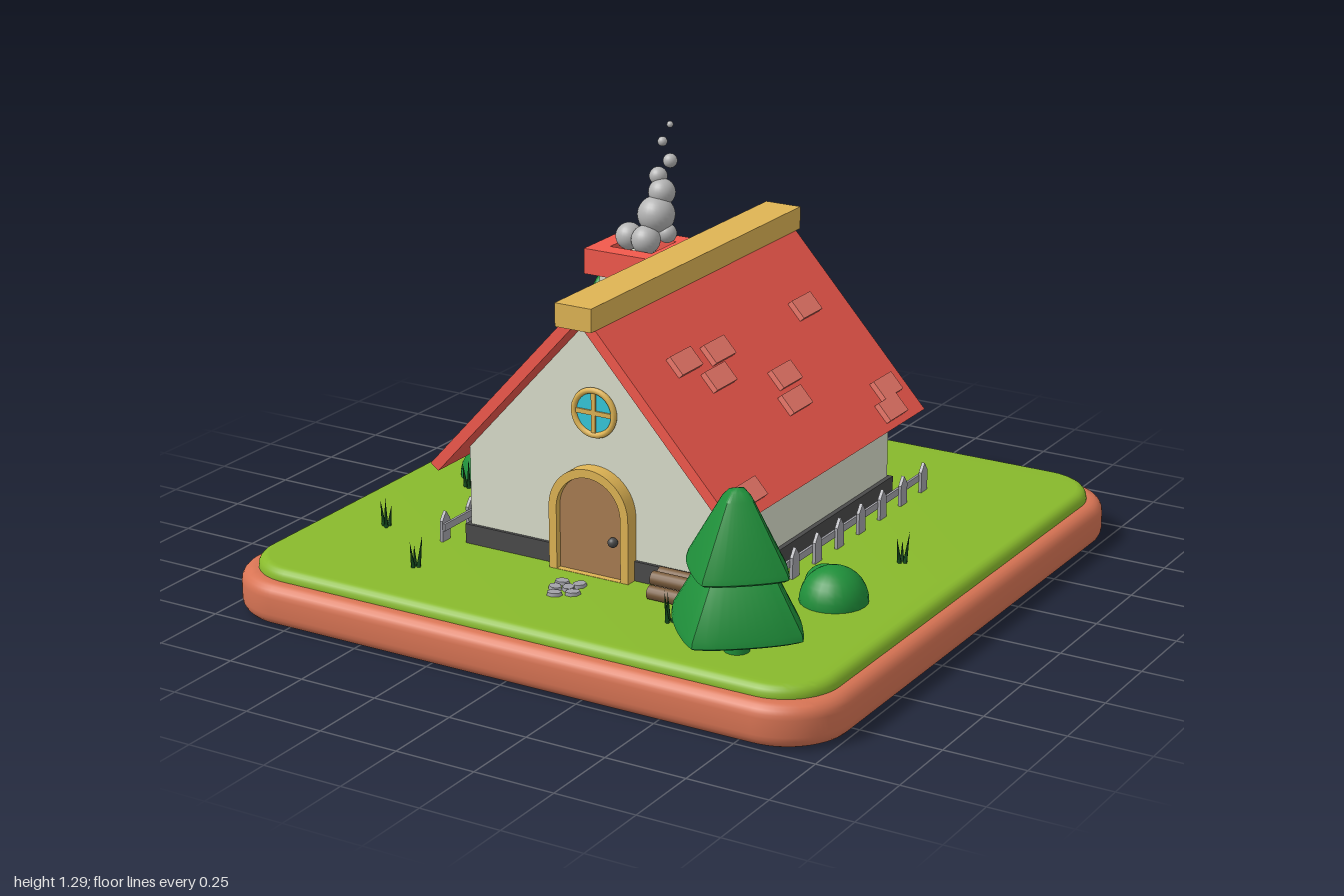
import * as THREE from 'three';
import { toCreasedNormals } from 'three/addons/utils/BufferGeometryUtils.js';

const mat = (color) => new THREE.MeshStandardMaterial({ color });
const M = {
  clay: mat(0xd87454), grass: mat(0x88b92c), wall: mat(0xdadecb), roof: mat(0xf2594d),
  tile: mat(0xf07a6c), trim: mat(0xdfb454), door: mat(0xa87c52), glass: mat(0x35c8da),
  stone: mat(0x4a4a4a), leaf: mat(0x1f8f3a), blade: mat(0x17501f), smoke: mat(0xb4b4b4),
  fence: mat(0xa2a2a8), bark: mat(0x7a5c3c), logEnd: mat(0xc9a46c),
};
const GROUND = 0.165;
const SLOPE = 1.1, PEAK = 0.994; // outer roof line: y = PEAK - SLOPE * |x|

function add(parent, name, geo, material, x = 0, y = 0, z = 0) {
  const mesh = new THREE.Mesh(geo, material);
  mesh.name = name;
  mesh.position.set(x, y, z);
  parent.add(mesh);
  return mesh;
}
function group(parent, name) {
  const g = new THREE.Group();
  g.name = name;
  parent.add(g);
  return g;
}
const box = (w, h, d) => new THREE.BoxGeometry(w, h, d);
const ball = (r) => new THREE.SphereGeometry(r, 24, 16);
const polygon = (pts) => new THREE.Shape(pts.map(([x, y]) => new THREE.Vector2(x, y)));
const extrude = (shape, depth) =>
  toCreasedNormals(new THREE.ExtrudeGeometry(shape, { depth, bevelEnabled: false, curveSegments: 20 }), 0.6);

// Rounded square slab lying flat, with rounded upper and lower edges
function slab(half, radius, height, bevel) {
  const h = half - bevel, r = radius - bevel, s = new THREE.Shape();
  s.absarc(h - r, h - r, r, 0, Math.PI / 2);
  s.absarc(r - h, h - r, r, Math.PI / 2, Math.PI);
  s.absarc(r - h, r - h, r, Math.PI, Math.PI * 1.5);
  s.absarc(h - r, r - h, r, Math.PI * 1.5, Math.PI * 2);
  const geo = new THREE.ExtrudeGeometry(s, {
    depth: height - 2 * bevel, bevelSize: bevel, bevelThickness: bevel, bevelSegments: 5, curveSegments: 10,
  });
  geo.translate(0, 0, bevel).rotateX(-Math.PI / 2);
  return toCreasedNormals(geo, 0.7);
}

// Doorway outline: straight sides under a half-round top
function arch(w, bottom, spring, Type = THREE.Shape) {
  const s = new Type();
  s.moveTo(-w, bottom);
  s.lineTo(w, bottom);
  s.lineTo(w, spring);
  s.absarc(0, spring, w, 0, Math.PI);
  s.lineTo(-w, bottom);
  return s;
}

// Foliage tier: a lathe squeezed to a soft-cornered square
function tier(profile) {
  const geo = new THREE.LatheGeometry(profile.map(([x, y]) => new THREE.Vector2(x, y)), 40);
  const p = geo.attributes.position, e = 1.2;
  for (let i = 0; i < p.count; i++) {
    const x = p.getX(i), z = p.getZ(i), r = Math.hypot(x, z);
    if (r < 1e-6) continue;
    const k = Math.pow(Math.pow(Math.abs(x) / r, e) + Math.pow(Math.abs(z) / r, e), -1 / e);
    p.setX(i, x * k);
    p.setZ(i, z * k);
  }
  return toCreasedNormals(geo, 0.8);
}

function addTree(root, x, z, turn) {
  const tree = group(root, 'tree');
  tree.position.set(x, 0, z);
  tree.rotation.y = turn;
  add(tree, 'trunk', new THREE.CylinderGeometry(0.034, 0.036, 0.12, 16), M.leaf, 0, 0.22, 0);
  add(tree, 'lowerFoliage', tier([[0, 0.235], [0.2, 0.235], [0.216, 0.243], [0.212, 0.262], [0.115, 0.42], [0, 0.46]]), M.leaf);
  add(tree, 'upperFoliage', tier([[0, 0.402], [0.155, 0.402], [0.168, 0.41], [0.163, 0.425], [0.05, 0.61], [0.028, 0.632], [0, 0.64]]), M.leaf);
}

function buildHouse(root) {
  const house = group(root, 'house');
  add(house, 'foundation', box(0.9, 0.06, 1.0), M.stone, 0, GROUND + 0.03, 0);
  const gable = polygon([[-0.435, 0.18], [0.435, 0.18], [0.435, 0.468], [0, 0.946], [-0.435, 0.468]]);
  add(house, 'walls', extrude(gable, 0.98), M.wall, 0, 0, -0.49);

  // Roof slopes, ridge beam and raised tiles
  for (const s of [-1, 1]) {
    const pts = [[0, PEAK], [0, 0.946], [s * 0.487, 0.41], [s * 0.513, 0.43]];
    add(house, s < 0 ? 'rightRoof' : 'leftRoof', extrude(polygon(pts), 1.16), M.roof, 0, 0, -0.58);
  }
  add(house, 'ridgeBeam', box(0.12, 0.07, 1.208), M.trim, 0, 0.965, 0);
  const tiles = [
    [-0.365, -0.49], [-0.17, -0.455], [-0.45, -0.13], [-0.17, 0.015], [-0.257, 0.123], [-0.17, 0.305], [-0.428, 0.438],
    [0.433, -0.465], [0.476, -0.417], [0.208, -0.358], [0.31, -0.053], [0.363, -0.02], [0.203, 0.155],
    [0.25, 0.23], [0.192, 0.326], [0.47, 0.438],
  ];
  const tileGeo = box(0.064, 0.036, 0.115);
  for (const [x, z] of tiles) {
    const tile = add(house, 'roofTile', tileGeo, M.tile, x, PEAK - SLOPE * Math.abs(x), z);
    tile.rotation.z = -Math.sign(x) * Math.atan(SLOPE);
  }

  // Arched door
  const frame = arch(0.134, GROUND, 0.356);
  frame.holes.push(arch(0.108, GROUND + 0.001, 0.356, THREE.Path));
  add(house, 'doorFrame', extrude(frame, 0.055), M.trim, 0, 0, 0.48);
  add(house, 'door', extrude(arch(0.108, GROUND, 0.356), 0.035), M.door, 0, 0, 0.48);
  add(house, 'doorKnob', ball(0.015), M.stone, 0.077, 0.28, 0.525);

  // Round window with crossed bars
  const win = group(house, 'roundWindow');
  win.position.set(0, 0.652, 0.49);
  add(win, 'windowPane', new THREE.CylinderGeometry(0.068, 0.068, 0.016, 32).rotateX(Math.PI / 2), M.glass);
  add(win, 'windowRing', new THREE.TorusGeometry(0.067, 0.009, 10, 40), M.trim, 0, 0, 0.008);
  add(win, 'windowBar', box(0.014, 0.13, 0.026), M.trim);
  add(win, 'windowBar', box(0.13, 0.014, 0.026), M.trim);
}

function buildChimney(root) {
  const chimney = group(root, 'chimney');
  chimney.position.set(-0.282, 0, -0.238);
  add(chimney, 'chimneyStack', box(0.194, 0.37, 0.194), M.wall, 0, 0.695, 0);
  const square = (h) => [[-h, -h], [h, -h], [h, h], [-h, h]];
  const cap = polygon(square(0.131));
  cap.holes.push(polygon(square(0.073)));
  add(chimney, 'chimneyCap', extrude(cap, 0.08).rotateX(-Math.PI / 2), M.roof, 0, 0.842, 0);
  const puffs = [
    [-0.315, 0.95, -0.21, 0.042], [-0.25, 0.95, -0.2, 0.045], [-0.205, 0.965, -0.25, 0.03], [-0.24, 1.02, -0.245, 0.058],
    [-0.235, 1.085, -0.27, 0.042], [-0.255, 1.13, -0.282, 0.028], [-0.21, 1.185, -0.277, 0.022],
    [-0.255, 1.232, -0.307, 0.015], [-0.235, 1.285, -0.318, 0.01],
  ];
  for (const [x, y, z, r] of puffs) add(root, 'smokePuff', ball(r), M.smoke, x, y, z);
}

function buildGarden(root) {
  addTree(root, 0.635, 0.782, -0.08);
  addTree(root, -0.72, -0.735, -0.37);

  const bushes = [[-0.705, -0.025, 0.1], [-0.632, 0.063, 0.06], [0.695, 0.335, 0.1], [0.62, 0.25, 0.06]];
  for (const [x, z, r] of bushes) add(root, 'bush', ball(r), M.leaf, x, GROUND + 0.003, z);

  // Picket fences along both sides of the house
  const picket = extrude(polygon([[-0.02, 0.16], [0.02, 0.16], [0.02, 0.23], [0, 0.257], [-0.02, 0.23]]), 0.01);
  picket.rotateY(Math.PI / 2);
  for (const s of [-1, 1]) {
    const fence = group(root, s < 0 ? 'rightFence' : 'leftFence');
    for (let i = 0; i < 9; i++) add(fence, 'picket', picket, M.fence, s * 0.515 - 0.005, 0, 0.512 - i * 0.136);
    add(fence, 'fenceRail', box(0.008, 0.022, 1.12), M.fence, s * 0.507, 0.211, -0.03);
  }

  // Grass tufts, three leaning blades each
  const blade = new THREE.ConeGeometry(0.007, 0.1, 5).translate(0, 0.05, 0);
  const tufts = [[-0.668, -0.443], [-0.705, 0.11], [-0.73, 0.51], [-0.47, 0.73], [0.375, 0.705], [0.55, 0.6], [0.73, -0.02]];
  for (const [x, z] of tufts) {
    const tuft = group(root, 'grassTuft');
    tuft.position.set(x, GROUND - 0.003, z);
    for (let i = 0; i < 3; i++) {
      const a = i * 2.1 + x * 5;
      const b = add(tuft, 'grassBlade', blade, M.blade, 0.009 * Math.sin(a), 0, 0.009 * Math.cos(a));
      b.rotation.set(0.13 * Math.cos(a), 0, -0.13 * Math.sin(a));
      b.scale.y = 0.65 + 0.2 * i;
    }
  }

  // Stacked firewood beside the door
  const log = new THREE.CylinderGeometry(0.021, 0.021, 0.132, 14).rotateZ(Math.PI / 2);
  for (const [y, z] of [[0.187, 0.52], [0.187, 0.557], [0.187, 0.594], [0.224, 0.538], [0.224, 0.575]]) {
    const wood = add(root, 'firewoodLog', log, M.bark, 0.308, y, z);
    wood.material = [M.bark, M.logEnd, M.logEnd];
  }

  // Stepping stones before the door
  const stone = new THREE.CylinderGeometry(0.022, 0.025, 0.014, 7);
  const steps = [[-0.035, 0.62], [0.02, 0.615], [-0.03, 0.665], [0.035, 0.675], [0.005, 0.65], [-0.008, 0.705]];
  steps.forEach(([x, z], i) => {
    const s = add(root, 'steppingStone', stone, M.fence, x, GROUND + 0.003, z);
    s.rotation.y = i * 1.3;
    s.scale.set(1, 1, 0.8);
  });
}

export function createModel() {
  const root = new THREE.Group();
  root.name = 'cottageIsland';
  add(root, 'base', slab(1, 0.2, 0.13, 0.04), M.clay);
  add(root, 'lawn', slab(0.955, 0.17, 0.07, 0.03), M.grass, 0, 0.095, 0);
  buildHouse(root);
  buildChimney(root);
  buildGarden(root);
  return root;
}
